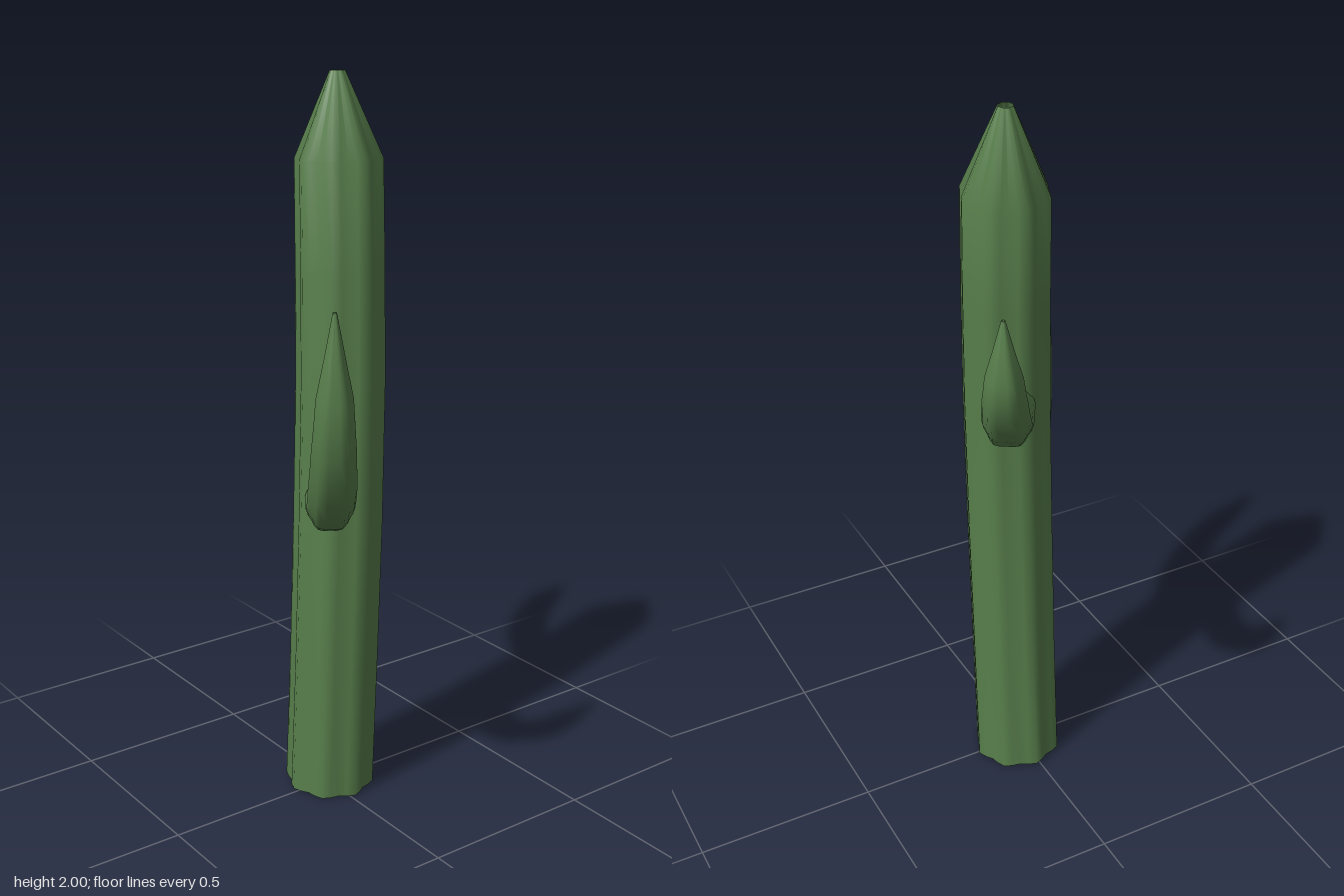
import * as THREE from 'three';

// Sweeps a ribbed open tube through stations of [x, y, z, radius].
function ribbedTube(stations, { ribs, depth, sides, axis, steps }) {
  const curve = new THREE.CatmullRomCurve3(stations.map(([x, y, z]) => new THREE.Vector3(x, y, z)));
  const spans = stations.length - 1;
  const rows = spans * steps;
  const positions = [];
  const index = [];
  for (let i = 0; i <= rows; i++) {
    const t = i / rows;
    const k = Math.min(Math.floor(i / steps), spans - 1);
    const radius = THREE.MathUtils.lerp(stations[k][3], stations[k + 1][3], i / steps - k);
    const centre = curve.getPoint(t);
    const tangent = curve.getTangent(t);
    const u = axis.clone().addScaledVector(tangent, -axis.dot(tangent)).normalize();
    const v = tangent.clone().cross(u);
    for (let j = 0; j < sides; j++) {
      const a = (j / sides) * Math.PI * 2;
      const r = radius * (1 - depth * (0.5 - 0.5 * Math.cos(ribs * a)));
      const p = centre.clone().addScaledVector(u, r * Math.cos(a)).addScaledVector(v, r * Math.sin(a));
      positions.push(p.x, p.y, p.z);
    }
  }
  for (let i = 0; i < rows; i++) {
    for (let j = 0; j < sides; j++) {
      const n = (j + 1) % sides;
      const a = i * sides + j, b = i * sides + n;
      index.push(a, b, a + sides, b, b + sides, a + sides);
    }
  }
  const geometry = new THREE.BufferGeometry();
  geometry.setAttribute('position', new THREE.Float32BufferAttribute(positions, 3));
  geometry.setIndex(index);
  geometry.computeVertexNormals();
  return geometry;
}

export function createModel() {
  const group = new THREE.Group();
  group.name = 'cactus';
  const green = new THREE.MeshStandardMaterial({ color: 0x587f4c, side: THREE.DoubleSide });
  green.name = 'cactus green';

  const add = (name, stations, options) => {
    const mesh = new THREE.Mesh(ribbedTube(stations, options), green);
    mesh.name = name;
    group.add(mesh);
  };

  // Slightly bent trunk with a conical, open tip
  add('trunk', [
    [-0.01, 0.008, -0.015, 0.126],
    [0.005, 0.4, -0.019, 0.124],
    [0.014, 0.8, -0.025, 0.123],
    [0.012, 1.2, -0.034, 0.121],
    [-0.003, 1.5, -0.043, 0.119],
    [-0.019, 1.78, -0.05, 0.117],
    [-0.028, 2.0, -0.052, 0.02],
  ], { ribs: 8, depth: 0.11, sides: 32, axis: new THREE.Vector3(1, 0, 0), steps: 1 });

  // Arms lie in one upright diagonal plane and curve up to a point
  const armOptions = { ribs: 6, depth: 0.1, sides: 24, axis: new THREE.Vector3(0.55, 0, -0.835), steps: 2 };
  add('leftArm', [
    [0.065, 0.905, 0.046, 0.06],
    [0.12, 0.898, 0.082, 0.062],
    [0.2, 0.93, 0.134, 0.063],
    [0.272, 1.01, 0.181, 0.062],
    [0.325, 1.13, 0.216, 0.056],
    [0.347, 1.27, 0.23, 0.046],
    [0.355, 1.483, 0.236, 0.005],
  ], armOptions);
  add('rightArm', [
    [-0.075, 1.228, -0.062, 0.06],
    [-0.12, 1.228, -0.09, 0.062],
    [-0.2, 1.25, -0.138, 0.063],
    [-0.272, 1.31, -0.182, 0.062],
    [-0.33, 1.395, -0.216, 0.056],
    [-0.353, 1.48, -0.23, 0.046],
    [-0.36, 1.63, -0.235, 0.005],
  ], armOptions);

  return group;
}
